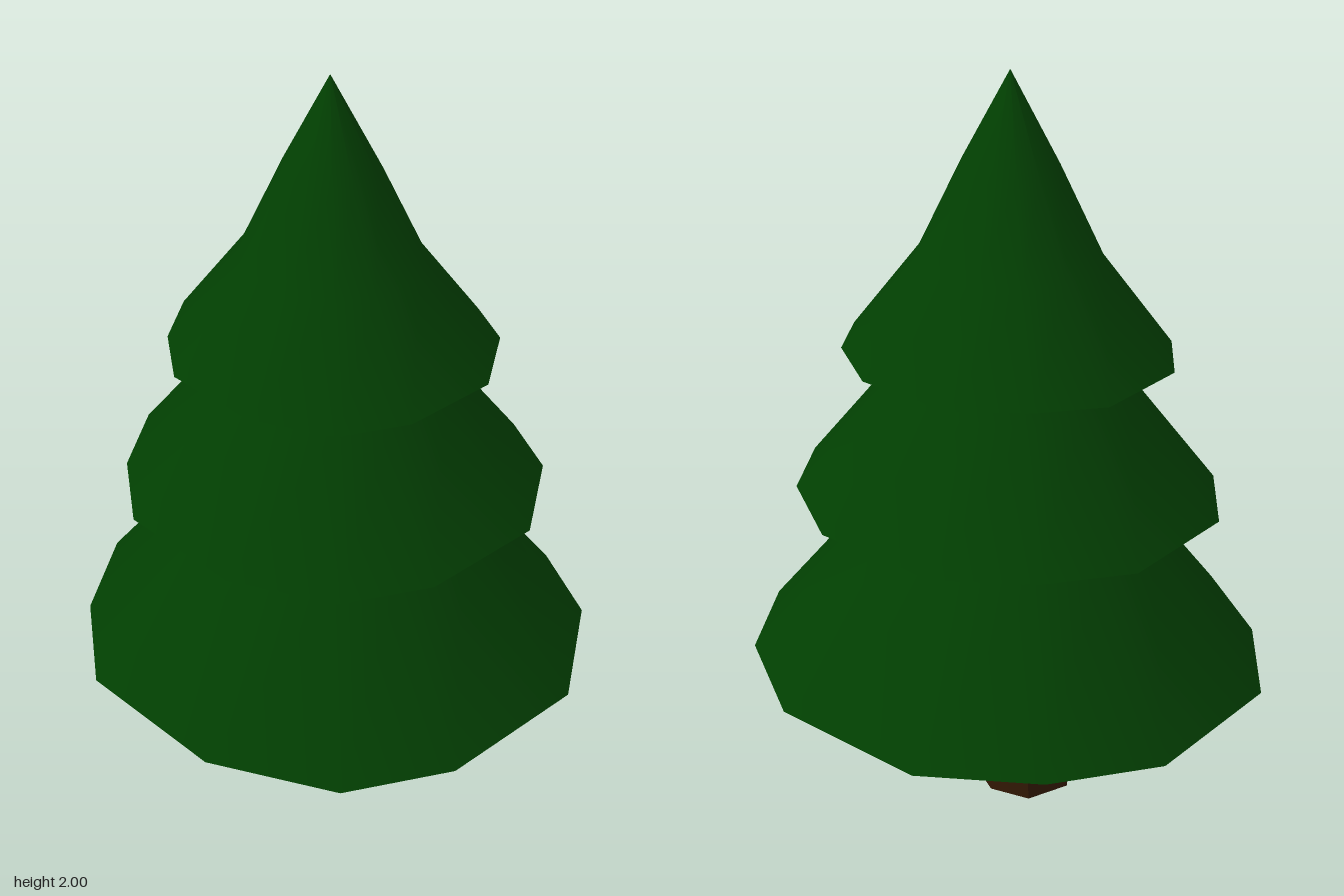
import * as THREE from 'three';
import { toCreasedNormals } from 'three/addons/utils/BufferGeometryUtils.js';

const foliage = new THREE.MeshStandardMaterial({ name: 'pine green', color: 0x023f02 });
const bark = new THREE.MeshStandardMaterial({ name: 'bark brown', color: 0x301704 });

// Uneven twelve-sided skirt outline: x, z and a small lift or droop of the tip
const outline = [
  [0.22, 0.637, 0], [0.515, 0.455, -0.022], [0.67, 0.21, 0], [0.67, -0.215, 0],
  [0.48, -0.49, 0.025], [0.22, -0.64, 0], [-0.22, -0.64, 0], [-0.515, -0.49, 0.025],
  [-0.67, -0.215, 0], [-0.67, 0.21, 0], [-0.48, 0.455, 0.005], [-0.22, 0.637, 0],
];

// Uneven eight-sided foot of the trunk: x, z
const trunkOutline = [
  [0.004, 0.21], [0.122, 0.095], [0.14, 0.01], [0.1, -0.043],
  [-0.022, -0.11], [-0.132, -0.08], [-0.175, 0.035], [-0.11, 0.124],
];

// Skin a stack of equal-length rings; the base fan is dished upwards by `dish`
function loft(rings, crease, dish) {
  const n = rings[0].length;
  const points = rings.flat();
  const index = [];
  for (let r = 0; r < rings.length - 1; r++) {
    for (let i = 0; i < n; i++) {
      const a = r * n + i, b = r * n + (i + 1) % n;
      index.push(a, b, b + n, a, b + n, a + n);
    }
  }
  for (const r of [0, rings.length - 1]) {
    const c = points.length;
    const mid = rings[r].reduce((s, p) => s.add(p), new THREE.Vector3()).divideScalar(n);
    if (r === 0) mid.y += dish;
    points.push(mid);
    for (let i = 0; i < n; i++) {
      const a = r * n + i, b = r * n + (i + 1) % n;
      index.push(...(r === 0 ? [c, b, a] : [c, a, b]));
    }
  }
  const geometry = new THREE.BufferGeometry().setFromPoints(points);
  geometry.setIndex(index);
  return toCreasedNormals(geometry, crease);
}

// One skirt of branches; profile is [half width, height], widest first
function makeTier(name, profile) {
  const rings = profile.map(([w, y], level) => {
    const s = w / 0.67;
    return outline.map(([x, z, lift]) =>
      new THREE.Vector3(x * s, y + (level === 0 ? lift * s : 0), z * s));
  });
  const mesh = new THREE.Mesh(loft(rings, 0.65, profile[0][0] * 0.22), foliage);
  mesh.name = name;
  return mesh;
}

export function createModel() {
  const tree = new THREE.Group();
  tree.name = 'pineTree';

  tree.add(
    makeTier('lowerBranches', [[0.673, 0.421], [0.37, 0.81], [0.25, 1.02]]),
    makeTier('middleBranches', [[0.543, 0.898], [0.305, 1.205], [0.21, 1.4]]),
    makeTier('upperBranches', [[0.417, 1.286], [0.235, 1.53], [0.124, 1.765], [0.001, 2]]),
  );

  // Trunk: off-centre, flaring at the foot; each ring is [height, scale, shift]
  const trunkRings = [[0, 1, 0], [0.29, 0.755, 0.006], [0.62, 0.68, 0.004]]
    .map(([y, s, shift]) => trunkOutline.map(([x, z]) =>
      new THREE.Vector3(x * s + shift, y, z * s + shift)));
  const trunk = new THREE.Mesh(loft(trunkRings, 0.9, 0), bark);
  trunk.name = 'trunk';
  tree.add(trunk);

  return tree;
}
